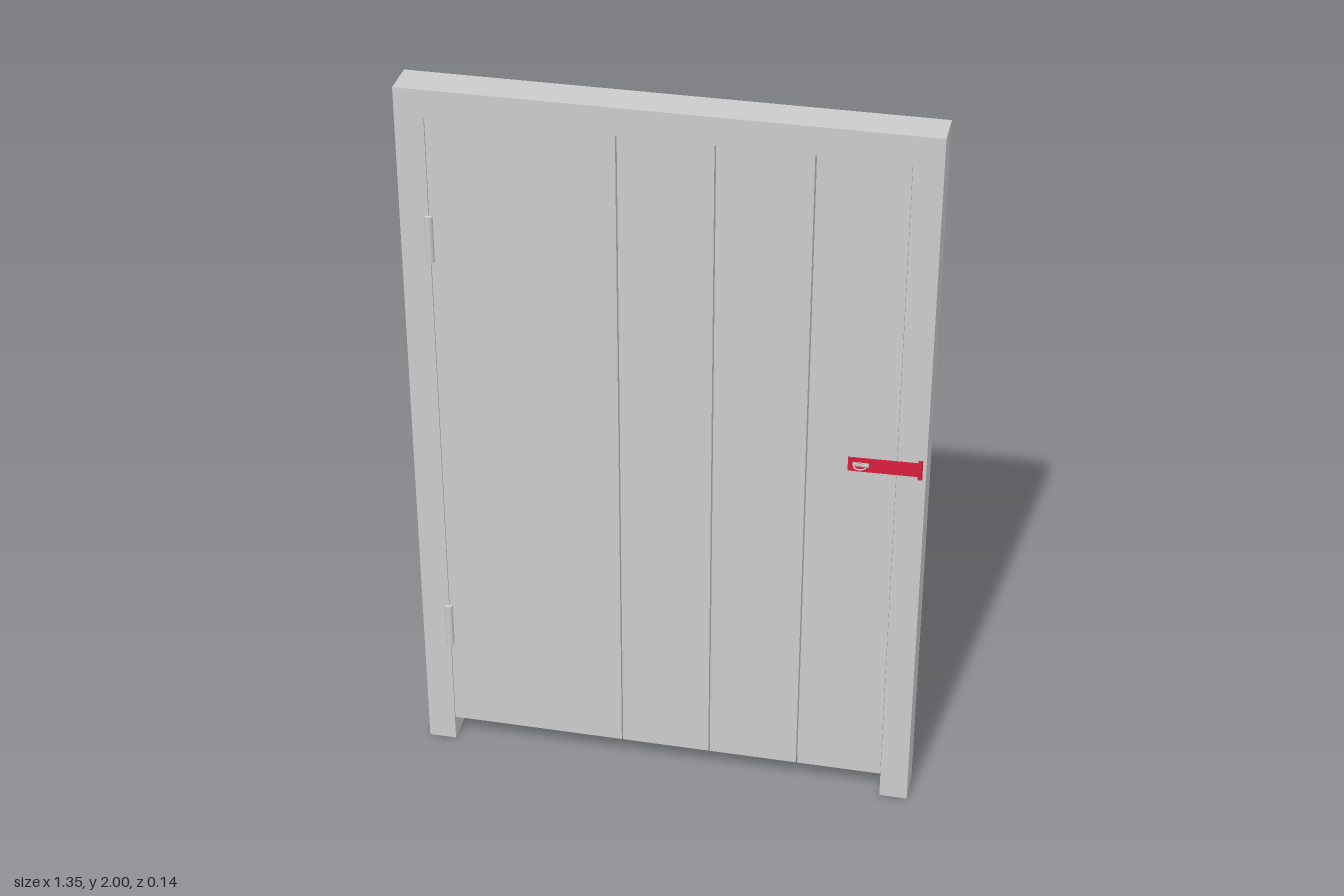
import * as THREE from 'three';

const grey = new THREE.MeshStandardMaterial({ color: 0xcccccc });
const red = new THREE.MeshStandardMaterial({ color: 0xd81e3c });

const FRONT = 0.034, BACK = -0.068;   // frame depth
const PLANK_FRONT = 0.032, PLANK_BACK = -0.01, BATTEN_BACK = -0.04;

function add(group, name, geometry, material = grey) {
  const mesh = new THREE.Mesh(geometry, material);
  mesh.name = name;
  group.add(mesh);
  return mesh;
}

// Box given by its limits on each axis
function box(x0, x1, y0, y1, z0, z1) {
  return new THREE.BoxGeometry(x1 - x0, y1 - y0, z1 - z0)
    .translate((x0 + x1) / 2, (y0 + y1) / 2, (z0 + z1) / 2);
}

// Flat outline pushed from z0 to z1
function slab(points, z0, z1, hole) {
  const shape = new THREE.Shape(points.map(([x, y]) => new THREE.Vector2(x, y)));
  if (hole) shape.holes.push(new THREE.Path(hole.map(([x, y]) => new THREE.Vector2(x, y))));
  return new THREE.ExtrudeGeometry(shape, { depth: z1 - z0, bevelEnabled: false }).translate(0, 0, z0);
}

const rect = (x0, x1, y0, y1) => [[x0, y0], [x1, y0], [x1, y1], [x0, y1]];

export function createModel() {
  const model = new THREE.Group();
  model.name = 'plankDoor';

  // Frame: two posts and a lintel in one outline
  add(model, 'frame', slab([
    [-0.675, 0], [-0.6, 0], [-0.6, 1.925], [0.6, 1.925],
    [0.6, 0], [0.675, 0], [0.675, 2], [-0.675, 2],
  ], BACK, FRONT));

  // Vertical planks with narrow gaps
  const door = new THREE.Group();
  door.name = 'door';
  model.add(door);
  const seams = [-0.6, -0.12, 0.124, 0.368, 0.6];
  const gap = 0.002;
  for (let i = 0; i < seams.length - 1; i++) {
    const x0 = seams[i] + (i > 0 ? gap : 0.001);
    const x1 = seams[i + 1] - (i < seams.length - 2 ? gap : 0.001);
    add(door, 'plank', box(x0, x1, 0.073, 1.924, PLANK_BACK, PLANK_FRONT));
  }

  // Battens and diagonal brace on the back
  for (const y of [0.35, 1.54]) {
    add(door, 'batten', box(-0.599, 0.599, y, y + 0.08, BATTEN_BACK, PLANK_BACK));
  }
  add(door, 'brace', slab(
    [[-0.599, 0.43], [-0.5, 0.43], [0.599, 1.54], [0.5, 1.54]], BATTEN_BACK, PLANK_BACK));

  // Hinge barrels
  for (const y of [0.394, 1.59]) {
    add(model, 'hinge', new THREE.CylinderGeometry(0.011, 0.011, 0.13, 16))
      .position.set(-0.601, y, 0.033);
  }

  // Slotted hasp, tilted slightly off the door around its pin
  const latch = new THREE.Group();
  latch.name = 'latch';
  latch.position.set(0.66, 1.072, 0.036);
  latch.rotation.y = 0.035;
  model.add(latch);
  add(latch, 'hasp', slab(rect(-0.184, 0, -0.02, 0.02), -0.001, 0.002,
    rect(-0.172, -0.13, -0.007, 0.007).reverse()), red);
  add(latch, 'haspPin', new THREE.CylinderGeometry(0.006, 0.006, 0.054, 12), red);

  // Staple ring passing through the hasp slot
  const staple = add(model, 'stapleRing', new THREE.TorusGeometry(0.016, 0.002, 8, 32));
  staple.rotation.x = Math.PI / 2;
  staple.position.set(0.508, 1.072, 0.05);

  return model;
}
